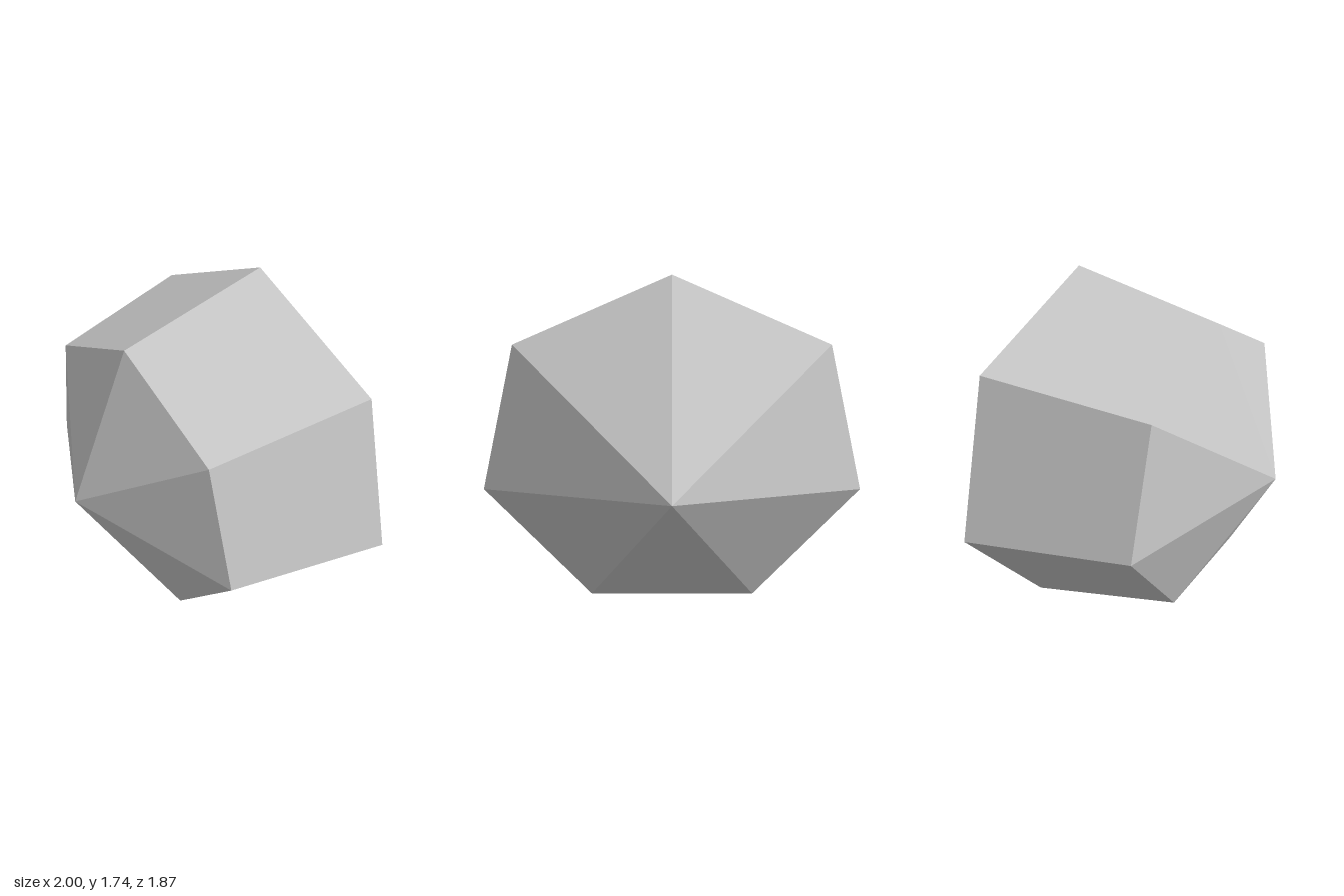
import * as THREE from 'three';

export function createModel() {
  const group = new THREE.Group();
  group.name = 'facetedGem';

  const grey = new THREE.MeshStandardMaterial({ color: 0xc8c8c8, flatShading: true });
  grey.name = 'grey';

  // Profile along the gem's axis: back tip, wide ring, narrow ring, front tip
  const profile = [
    [0, -0.935],
    [1.0257, -0.21],
    [0.8205, 0.585],
    [0, 0.935],
  ].map(([r, z]) => new THREE.Vector2(r, z));

  // Seven sides, one corner pointing up, axis turned to face the front
  const geometry = new THREE.LatheGeometry(profile, 7, Math.PI);
  geometry.rotateX(Math.PI / 2);
  geometry.scale(1, 0.892, 1);
  geometry.computeBoundingBox();
  geometry.translate(0, -geometry.boundingBox.min.y, 0);

  const gem = new THREE.Mesh(geometry, grey);
  gem.name = 'gemBody';
  group.add(gem);
  return group;
}
